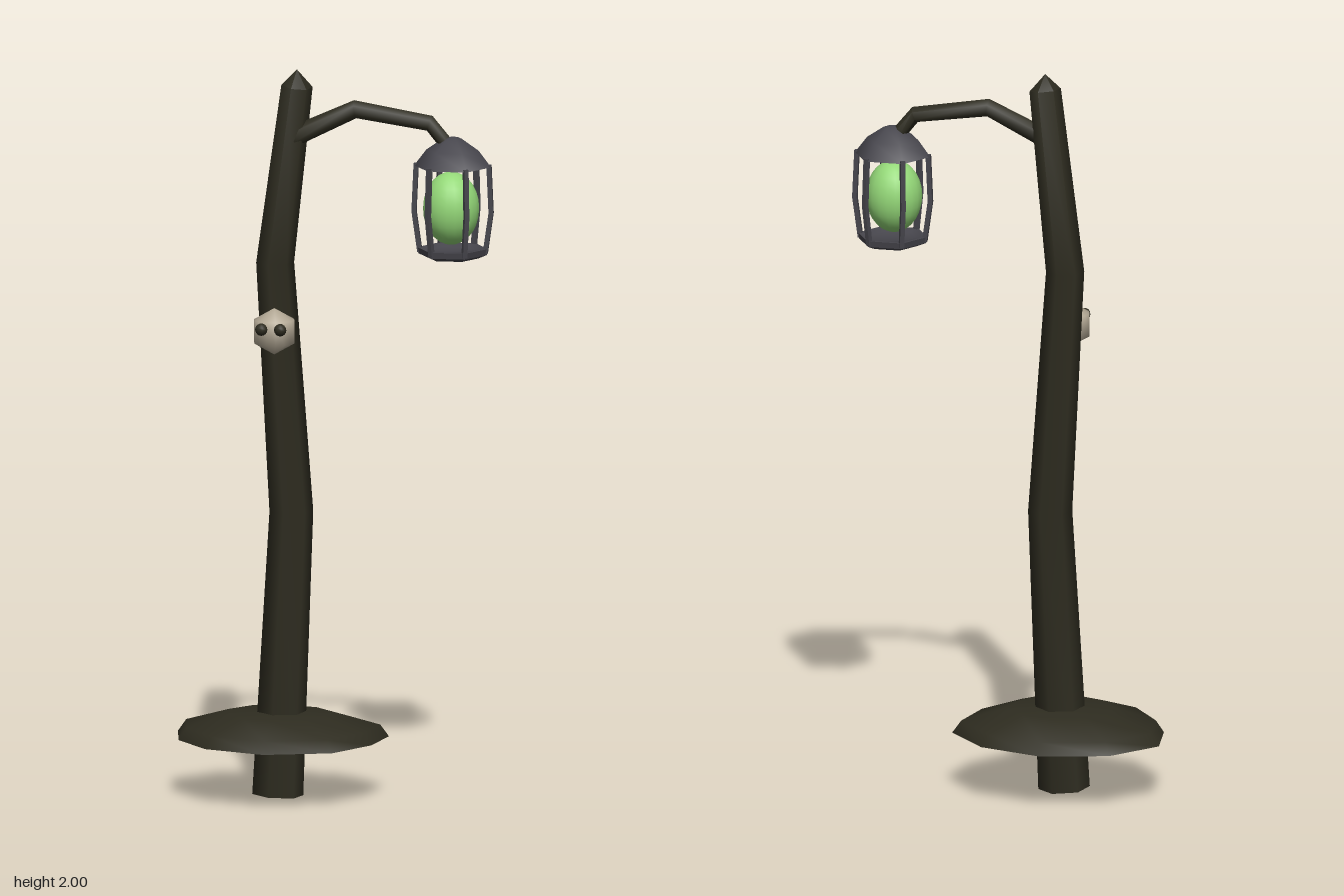
import * as THREE from 'three';
import { toCreasedNormals } from 'three/addons/utils/BufferGeometryUtils.js';

const V = (x, y, z) => new THREE.Vector3(x, y, z);

// Skin a stack of closed rings that all have the same number of points
function skin(rings) {
  const n = rings[0].length, index = [];
  for (let i = 0; i < rings.length - 1; i++) {
    for (let j = 0; j < n; j++) {
      const k = (j + 1) % n, a = i * n, b = a + n;
      index.push(a + j, a + k, b + j, a + k, b + k, b + j);
    }
  }
  const geo = new THREE.BufferGeometry().setFromPoints(rings.flat());
  geo.setIndex(index);
  return toCreasedNormals(geo, 1.1);
}

// Angular, tapering limb through points [x, y, z, radius], closed at both ends
function limb(points, sides, phase = 0, tip = null) {
  const first = points[0], last = points[points.length - 1];
  const all = [[...first.slice(0, 3), 0], ...points, tip ? [...tip, 0] : [...last.slice(0, 3), 0]];
  const centres = all.map(p => V(p[0], p[1], p[2]));
  const rings = all.map((p, i) => {
    const t = centres[Math.min(i + 1, all.length - 1)].clone()
      .sub(centres[Math.max(i - 1, 0)]).normalize();
    const u = V(0, 0, 1).cross(t).normalize();
    const w = t.clone().cross(u);
    return Array.from({ length: sides }, (_, j) => {
      const a = phase + j / sides * Math.PI * 2;
      return centres[i].clone()
        .addScaledVector(u, Math.cos(a) * p[3])
        .addScaledVector(w, Math.sin(a) * p[3]);
    });
  });
  return skin(rings);
}

export function createModel() {
  const model = new THREE.Group();
  model.name = 'lampPost';

  const mat = (name, color) => {
    const m = new THREE.MeshStandardMaterial({ color });
    m.name = name;
    return m;
  };
  const wood = mat('dark wood', 0x2e2c20);
  const iron = mat('grey iron', 0x47464d);
  const glow = mat('green glow', 0x94d878);
  const bone = mat('pale bone', 0xb8ad99);

  const add = (name, geo, material, parent = model) => {
    const mesh = new THREE.Mesh(geo, material);
    mesh.name = name;
    parent.add(mesh);
    return mesh;
  };

  // Crooked post with a pointed top
  add('post', limb([
    [-0.153, 0, 0, 0.07],
    [-0.118, 0.78, -0.015, 0.06],
    [-0.167, 1.46, -0.042, 0.052],
    [-0.1, 1.955, 0, 0.043],
  ], 6, 0.3, [-0.1, 2, 0]), wood);

  // Uneven shelf around the foot of the post
  const outline = [[0.03, 0.21], [0.115, 0.07], [0.14, -0.08], [0.025, -0.21], [-0.15, -0.265],
    [-0.335, -0.215], [-0.44, -0.08], [-0.415, 0.07], [-0.32, 0.2], [-0.15, 0.265]];
  const levels = [[0.175, 0], [0.155, 1], [0.188, 0.92], [0.225, 0.5], [0.232, 0]];
  add('shelf', skin(levels.map(([y, s]) =>
    outline.map(([x, z]) => V(-0.15 + (x + 0.15) * s, y, z * s)))), wood);

  // Bent arm carrying the lantern
  add('arm', limb([
    [-0.11, 1.815, 0, 0.028],
    [0.06, 1.895, 0, 0.025],
    [0.265, 1.862, 0, 0.022],
    [0.32, 1.795, 0, 0.02],
  ], 6), wood);

  // Lantern
  const lantern = new THREE.Group();
  lantern.name = 'lantern';
  lantern.position.x = 0.328;
  model.add(lantern);

  // Hexagonal turned parts with corners on the x axis
  const hex = profile => {
    const geo = new THREE.LatheGeometry(profile.map(p => new THREE.Vector2(...p)), 6);
    geo.rotateY(Math.PI / 6 * 3);
    geo.deleteAttribute('normal');
    geo.deleteAttribute('uv');
    return toCreasedNormals(geo, 0.9);
  };
  add('lanternRoof', hex([[0, 1.745], [0.106, 1.745], [0.072, 1.79], [0.025, 1.822], [0, 1.828]]), iron, lantern);
  add('lanternBase', hex([[0, 1.49], [0.07, 1.493], [0.094, 1.503], [0.098, 1.52], [0.08, 1.52], [0.07, 1.512], [0, 1.512]]), iron, lantern);

  // Bowed cage bars
  const bar = limb([[0.09, 1.508, 0, 0.009], [0.106, 1.62, 0, 0.009], [0.1, 1.752, 0, 0.009]], 4, Math.PI / 4);
  for (let i = 0; i < 6; i++) {
    add('cageBar', bar, iron, lantern).rotation.y = i * Math.PI / 3;
  }

  // Glowing globe
  const globe = add('globe', new THREE.SphereGeometry(1, 20, 14), glow, lantern);
  globe.scale.set(0.077, 0.1, 0.077);
  globe.position.set(-0.004, 1.63, 0);

  // Little pale creature clinging to the post, with two dark eyes
  const creature = new THREE.Group();
  creature.name = 'creature';
  creature.position.set(-0.153, 1.287, 0.058);
  model.add(creature);
  add('creatureBody', new THREE.SphereGeometry(0.064, 14, 3), bone, creature);
  for (const side of [-1, 1]) {
    add('eye', new THREE.SphereGeometry(0.017, 10, 8), wood, creature)
      .position.set(side * 0.026, 0.014, 0.06);
  }

  return model;
}
